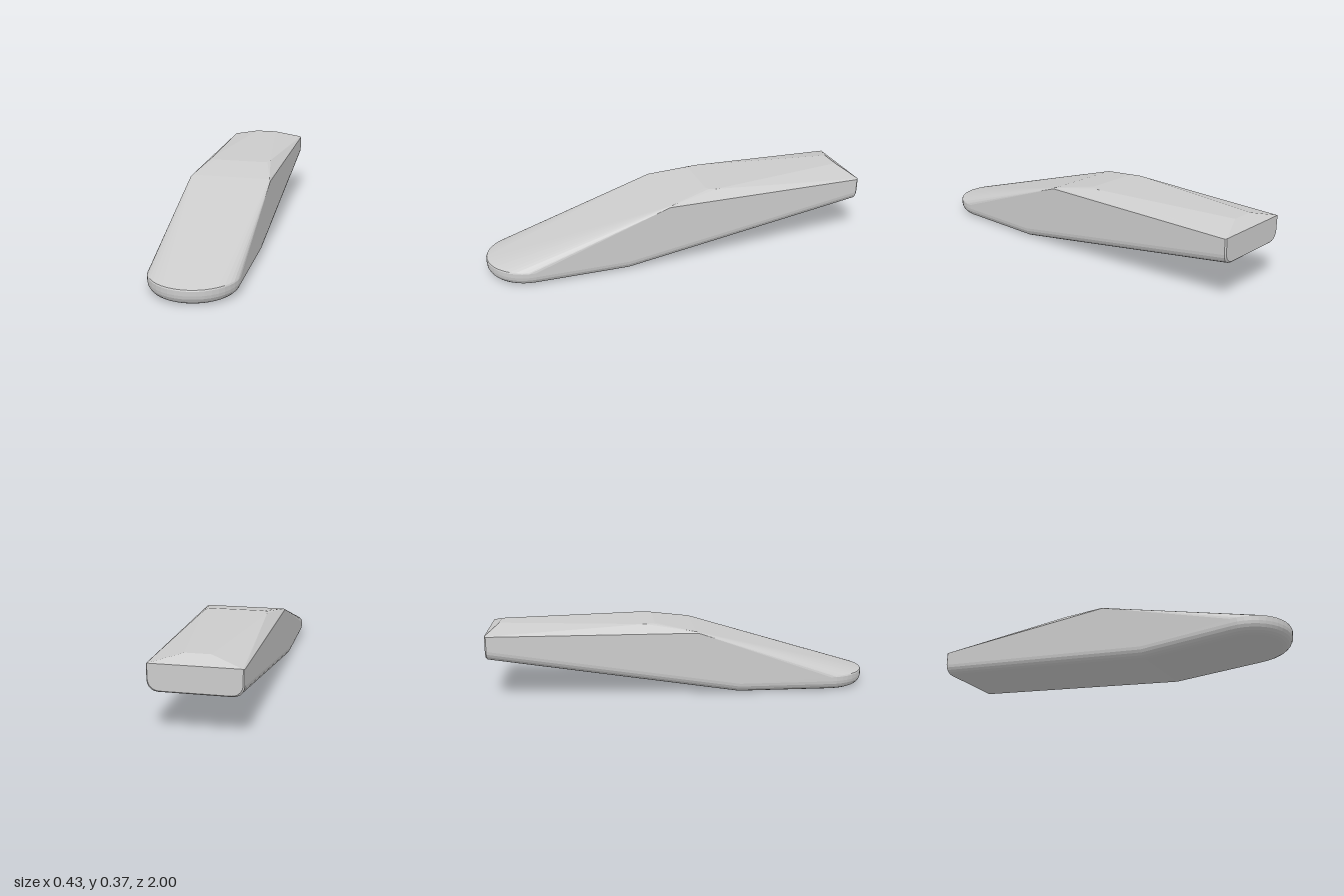
import * as THREE from 'three';
import { ConvexGeometry } from 'three/addons/geometries/ConvexGeometry.js';

const HALF = 0.215; // half width of the body
const ROUND = 0.05; // radius of the lower edges

export function createModel() {
  const group = new THREE.Group();
  const points = [];
  const add = (x, y, z) => points.push(new THREE.Vector3(x, y, z));
  const addPair = (x, y, z) => { add(x, y, z); add(-x, y, z); };

  // Quarter-round profile for the lower edges: inset from the side, height above the base
  const edge = [];
  for (let i = 0; i <= 5; i++) {
    const a = (i / 5) * Math.PI / 2;
    edge.push([ROUND * (1 - Math.cos(a)), ROUND * (1 - Math.sin(a))]);
  }

  // Rounded nose: half-circle rings with a rolled lower edge and a flat rim
  const rings = [[0.003, 0.078], [0, 0.072], ...edge];
  for (const [inset, y] of rings) {
    const r = HALF - inset;
    for (let i = 0; i <= 20; i++) {
      const a = (i / 20) * Math.PI;
      add(r * Math.cos(a), y, 0.785 + r * Math.sin(a));
    }
  }

  // Underside: bend line, then a slope up to the back end
  for (const [inset, y] of edge) {
    addPair(HALF - inset, y, 0.3);
    addPair(HALF - inset, 0.203 + y, -0.993);
    addPair(HALF - 0.006 - inset, 0.209 + y, -1);
  }

  // Shoulders where the sides meet the top
  addPair(0.209, 0.333, 0.07);
  addPair(HALF, 0.326, 0.08);
  addPair(HALF, 0.328, -0.993);
  addPair(HALF - 0.005, 0.331, -1);

  // Raised flat top, narrowing towards the back
  addPair(0.13, 0.369, -0.14);
  addPair(0.155, 0.369, -0.15);
  addPair(0.165, 0.369, -0.19);
  addPair(0.06, 0.369, -0.94);

  const body = new THREE.Mesh(
    new ConvexGeometry(points),
    new THREE.MeshStandardMaterial({ color: 0xcccccc, flatShading: true })
  );
  body.name = 'body';
  group.add(body);
  return group;
}
